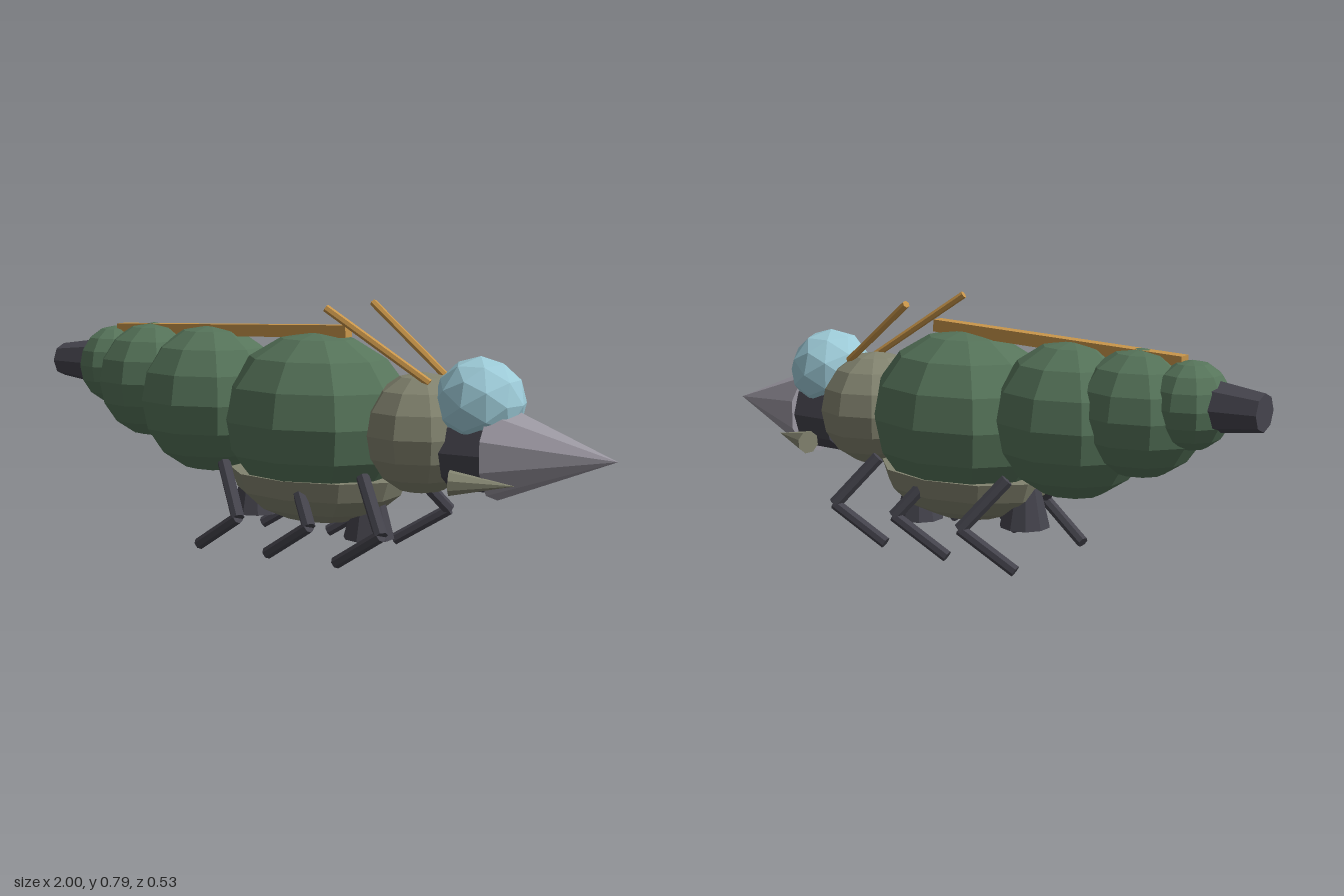
import * as THREE from 'three';

const mat = (name, color) => {
  const m = new THREE.MeshStandardMaterial({ color });
  m.name = name;
  return m;
};

export function createModel() {
  const model = new THREE.Group();
  const green = mat('shell green', 0x56745a);
  const olive = mat('olive grey', 0x82836f);
  const grey = mat('beak grey', 0x9c98a2);
  const dark = mat('dark metal', 0x45444d);
  const blue = mat('pale blue', 0x9dcbd8);
  const orange = mat('ochre', 0xc8954a);

  // Adds a faceted mesh
  const add = (name, geo, material, x = 0, y = 0, z = 0) => {
    const flat = geo.index ? geo.toNonIndexed() : geo;
    flat.computeVertexNormals();
    const mesh = new THREE.Mesh(flat, material);
    mesh.name = name;
    mesh.position.set(x, y, z);
    model.add(mesh);
    return mesh;
  };

  // Faceted ellipsoid with corners on the z axis
  const blob = (name, material, [x, y, z], [rx, ry, rz]) =>
    add(name, new THREE.SphereGeometry(1, 10, 8).rotateY(Math.PI / 2).scale(rx, ry, rz), material, x, y, z);

  // Tapered rod from a to b
  const rod = (name, material, a, b, ra, rb, sides) => {
    const from = new THREE.Vector3(...a), to = new THREE.Vector3(...b);
    const dir = to.clone().sub(from);
    const mesh = add(name, new THREE.CylinderGeometry(rb, ra, dir.length(), sides), material);
    mesh.position.copy(from).add(to).multiplyScalar(0.5);
    mesh.quaternion.setFromUnitVectors(new THREE.Vector3(0, 1, 0), dir.normalize());
    return mesh;
  };

  // Body segments, front to back
  blob('thorax', olive, [0.385, 0.405, 0], [0.18, 0.185, 0.185]);
  blob('mainShell', green, [0.02, 0.42, 0], [0.32, 0.275, 0.265]);
  blob('abdomenLarge', green, [-0.38, 0.46, 0], [0.25, 0.24, 0.225]);
  blob('abdomenMiddle', green, [-0.61, 0.508, 0], [0.2, 0.19, 0.18]);
  blob('abdomenSmall', green, [-0.775, 0.55, 0], [0.12, 0.13, 0.125]);
  rod('tailNozzle', dark, [-0.82, 0.555, 0], [-1, 0.555, 0], 0.08, 0.055, 8);

  // Half-round belly, closed on top
  const profile = [0, 1, 2, 3, 4].map((i) => {
    const t = (i * Math.PI) / 8;
    return new THREE.Vector2(Math.sin(t), -Math.cos(t));
  });
  profile.push(new THREE.Vector2(0, 0));
  add('belly', new THREE.LatheGeometry(profile, 10).scale(0.3, 0.16, 0.212), olive, 0.02, 0.255, 0);

  // Belly thrusters
  rod('frontThruster', dark, [0.205, 0.063, 0], [0.205, 0.19, 0], 0.08, 0.048, 10);
  rod('rearThruster', dark, [-0.21, 0.103, 0], [-0.21, 0.23, 0], 0.08, 0.048, 10);

  // Head: neck, beak and domed eye
  rod('neck', dark, [0.5, 0.37, 0], [0.645, 0.37, 0], 0.125, 0.125, 10);
  const beak = new THREE.ConeGeometry(0.147, 0.365, 10).rotateY(Math.PI / 2).rotateZ(-Math.PI / 2).scale(1, 1, 0.96);
  add('beak', beak, grey, 0.8175, 0.37, 0);
  add('eyeDome', new THREE.IcosahedronGeometry(0.137, 1), blue, 0.575, 0.51, 0);

  // Ridge along the back
  const ridge = add('backRidge', new THREE.BoxGeometry(0.88, 0.038, 0.04), orange, -0.31, 0.685, 0);
  ridge.rotation.z = 0.034;

  for (const s of [1, -1]) {
    // Jaw spikes and antennae
    rod('jawSpike', olive, [0.55, 0.292, s * 0.152], [0.73, 0.29, s * 0.095], 0.038, 0, 8);
    rod('antenna', orange, [0.44, 0.565, s * 0.065], [0.135, 0.78, s * 0.147], 0.012, 0.012, 6);

    // Three bent legs on each side
    for (const x of [0.37, 0.125, -0.13]) {
      rod('upperLeg', dark, [x - 0.11, 0.28, s * 0.14], [x, 0.128, s * 0.228], 0.021, 0.021, 7);
      rod('lowerLeg', dark, [x, 0.13, s * 0.228], [x - 0.175, 0.02, s * 0.187], 0.019, 0.019, 7);
    }
  }
  return model;
}
